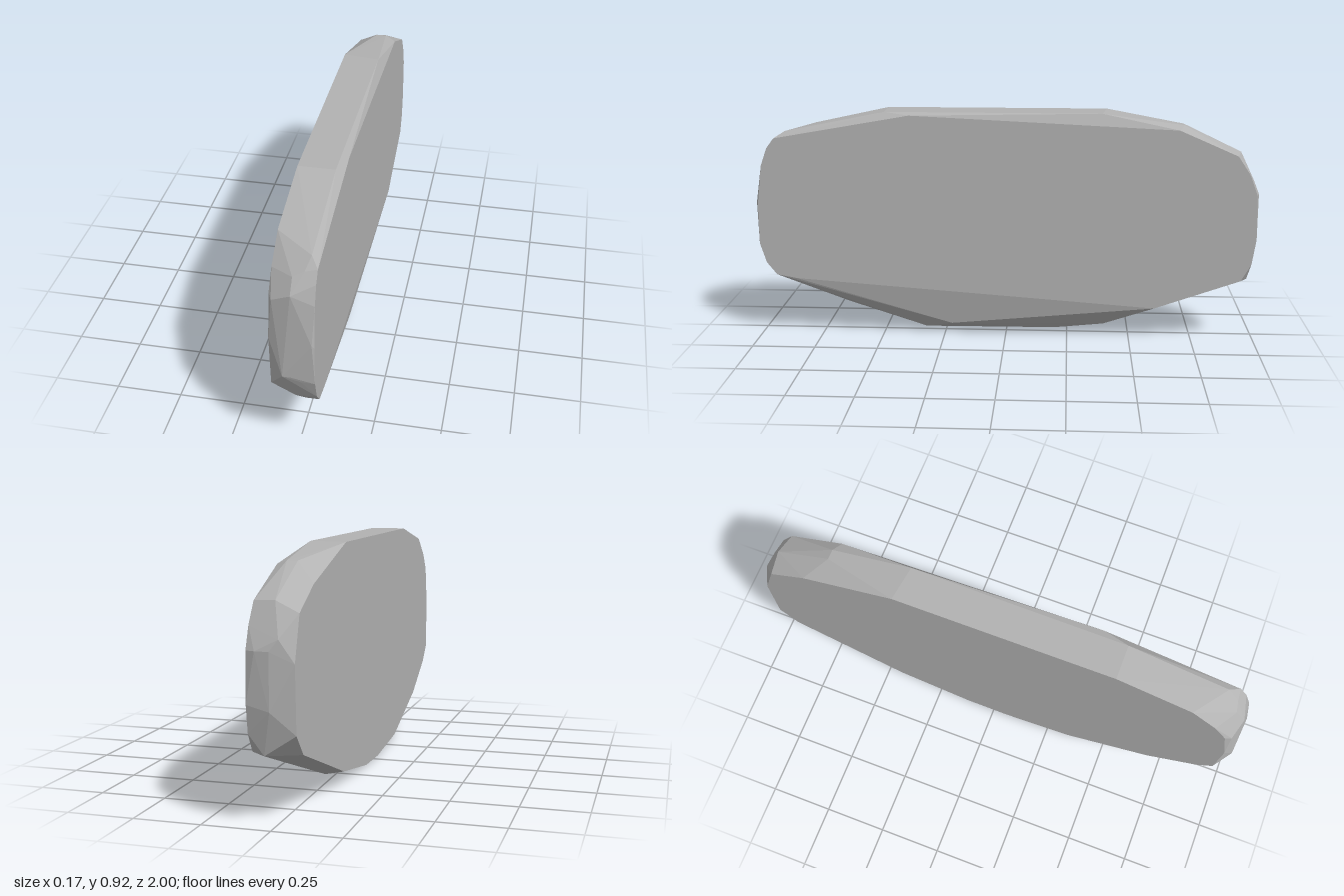
import * as THREE from 'three';
import { ConvexGeometry } from 'three/addons/geometries/ConvexGeometry.js';

// Half the slab's thickness
const H = 0.083;

// Outline of the broad left face, as [z, y]
const leftFace = [
  [0.92, 0.81], [0.38, 0.905], [-0.68, 0.855], [-0.91, 0.755], [-0.96, 0.68], [-0.99, 0.6],
  [-0.995, 0.42], [-0.98, 0.32], [-0.94, 0.25], [-0.6, 0.13], [0.85, 0.235], [0.93, 0.25],
  [0.97, 0.3], [0.995, 0.38], [0.995, 0.54], [0.975, 0.7], [0.95, 0.77],
];

// Outline of the broad right face, as [z, y]
const rightFace = [
  [0.78, 0.85], [0.48, 0.915], [-0.4, 0.915], [-0.78, 0.8], [-0.93, 0.72], [-0.98, 0.56],
  [-0.97, 0.32], [-0.9, 0.24], [-0.43, 0.06], [-0.12, 0.005], [0.06, 0], [0.34, 0.025],
  [0.69, 0.145], [0.89, 0.26], [0.95, 0.32], [0.96, 0.53], [0.93, 0.7], [0.88, 0.77],
];

// Corners of the chipped rim between the two faces, as [x, y, z]
const rim = [
  // front end
  [-0.03, 0.4, 1], [0, 0.4, 1], [0.075, 0.55, 1], [-0.07, 0.69, 0.955], [0, 0.73, 0.975],
  [0, 0.78, 0.935], [0.04, 0.8, 0.925], [0.055, 0.835, 0.88], [0, 0.26, 0.935], [0.03, 0.235, 0.915],
  [0.035, 0.38, 0.995],
  // back end
  [0, 0.6, -1], [0, 0.4, -1], [0.05, 0.6, -1], [0.03, 0.245, -0.97], [-0.03, 0.64, -0.99],
  [0, 0.76, -0.93], [0.04, 0.87, -0.7], [0, 0.87, -0.7],
  // top edge
  [0.055, 0.915, 0.48], [0.06, 0.915, -0.38],
  // underside
  [0.055, 0.045, 0.22], [0, 0.012, 0.33], [-0.06, 0.03, 0.4], [0, 0.035, -0.4],
  [-0.05, 0, 0], [-0.02, 0.008, -0.2], [0, 0.115, 0.65],
];

export function createModel() {
  const stone = new THREE.MeshStandardMaterial({ color: 0xb2b2b2 });
  stone.name = 'stone grey';

  const points = [
    ...leftFace.map(([z, y]) => new THREE.Vector3(H, y, z)),
    ...rightFace.map(([z, y]) => new THREE.Vector3(-H, y, z)),
    ...rim.map((p) => new THREE.Vector3(...p)),
  ];

  // The slab is the faceted hull around both faces and the rim
  const slab = new THREE.Mesh(new ConvexGeometry(points), stone);
  slab.name = 'stoneSlab';

  const model = new THREE.Group();
  model.name = 'stone';
  model.add(slab);
  return model;
}
